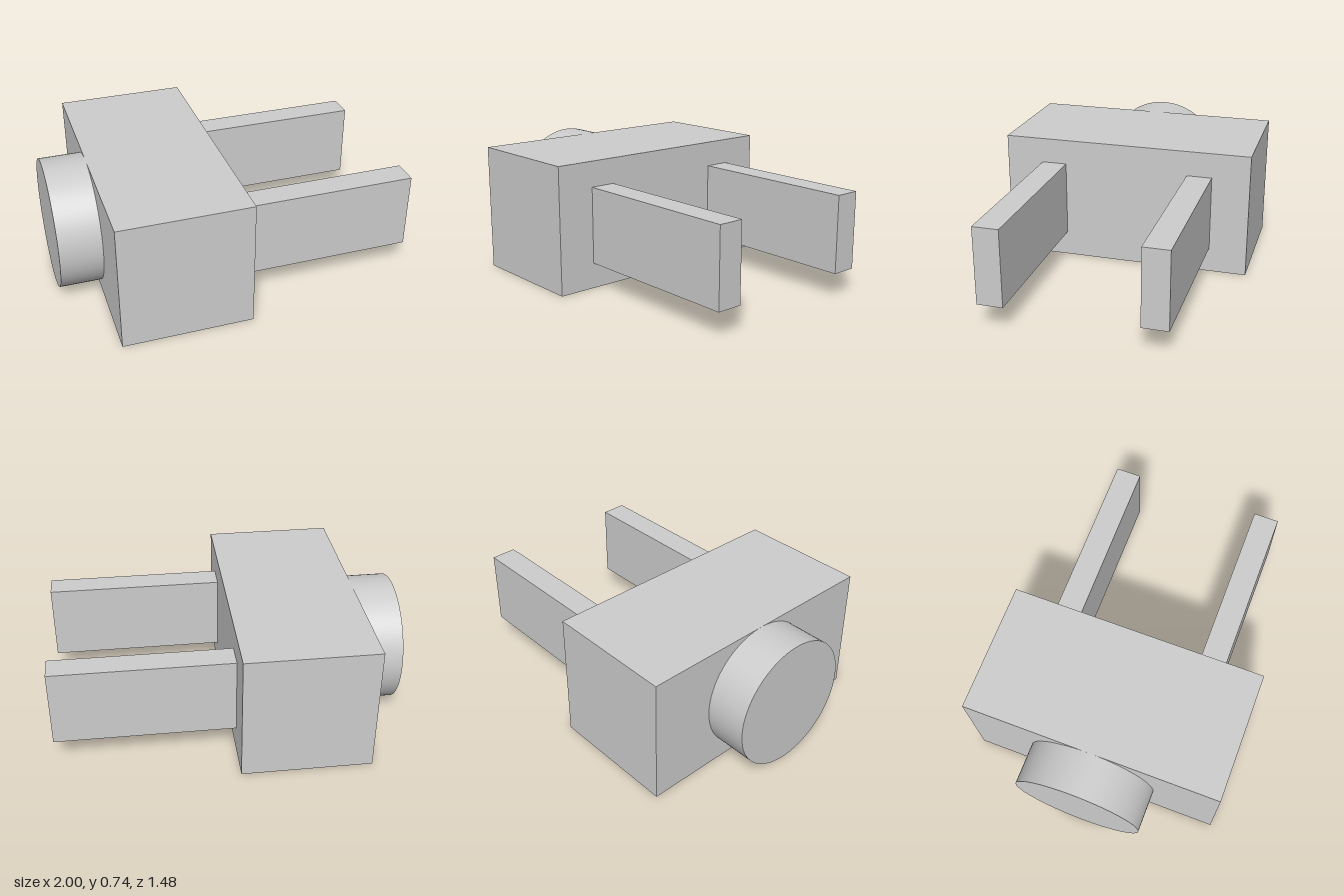
import * as THREE from 'three';

export function createModel() {
  const model = new THREE.Group();
  model.name = 'plug';
  const grey = new THREE.MeshStandardMaterial({ color: 0xcccccc });
  grey.name = 'light grey';

  const add = (name, geometry, x, y, z) => {
    const mesh = new THREE.Mesh(geometry, grey);
    mesh.name = name;
    mesh.position.set(x, y, z);
    model.add(mesh);
  };

  // Main block
  add('body', new THREE.BoxGeometry(0.74, 0.74, 1.48), -0.39, 0.37, 0);

  // Round boss on the end, lying along x
  const boss = new THREE.CylinderGeometry(0.37, 0.37, 0.24, 96).rotateZ(Math.PI / 2);
  add('boss', boss, -0.88, 0.37, 0);

  // Pair of flat prongs
  for (const [side, name] of [[1, 'frontProng'], [-1, 'backProng']]) {
    add(name, new THREE.BoxGeometry(1.02, 0.444, 0.148), 0.49, 0.37, side * 0.444);
  }

  return model;
}
